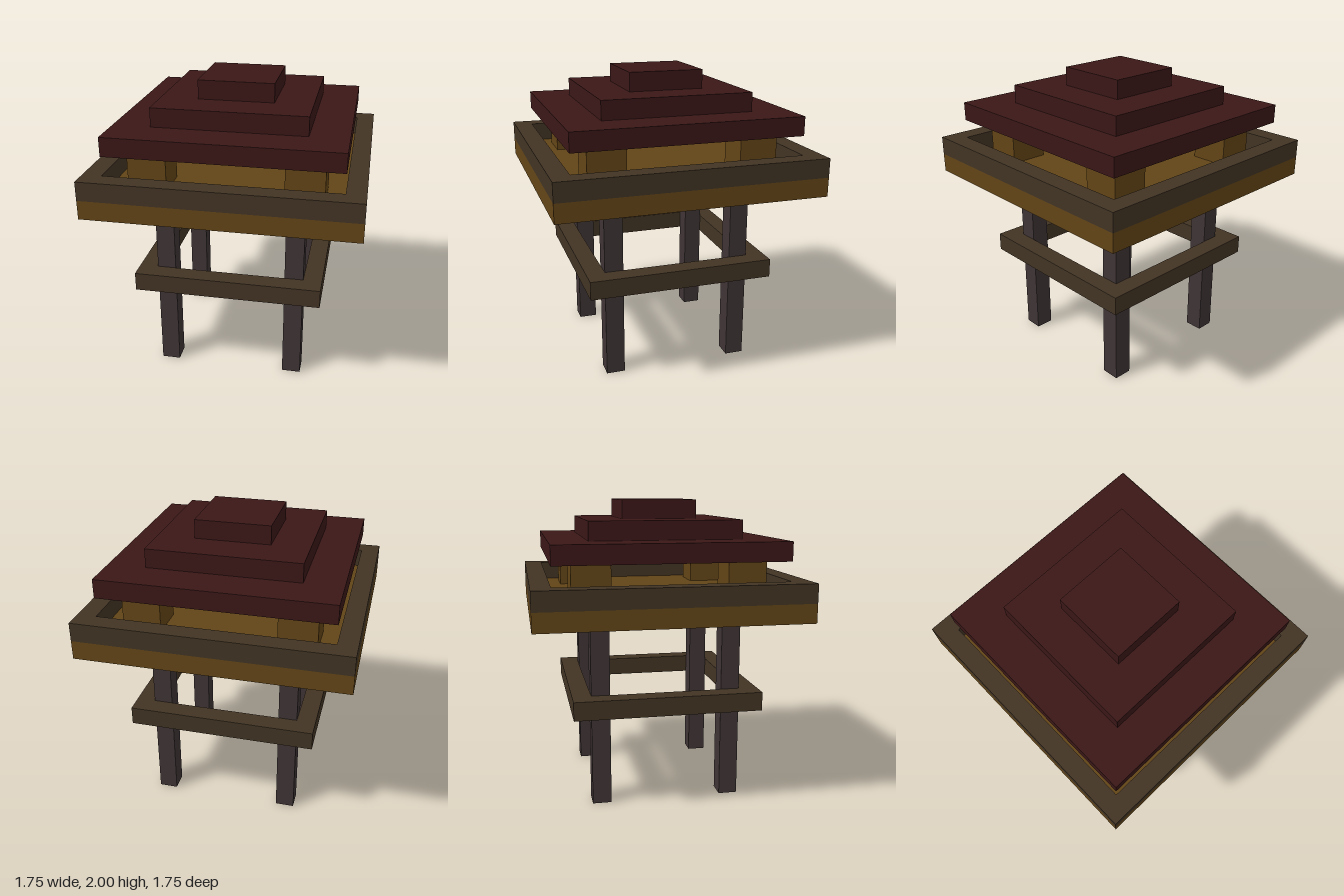
import * as THREE from 'three';

const paint = (color) => new THREE.MeshStandardMaterial({ color, flatShading: true });

export function createModel() {
  const model = new THREE.Group();
  const legWood = paint(0x3f3435);
  const railWood = paint(0x423424);
  const deckWood = paint(0x634517);
  const roofRed = paint(0x3b1717);

  const add = (geometry, material, name, x, y, z) => {
    const mesh = new THREE.Mesh(geometry, material);
    mesh.name = name;
    mesh.position.set(x, y, z);
    model.add(mesh);
  };

  // Box centred on x, z and rising from y0 to y1
  const block = (name, material, width, y0, y1, x = 0, z = 0) =>
    add(new THREE.BoxGeometry(width, y1 - y0, width), material, name, x, (y0 + y1) / 2, z);

  // Square frame with half-sizes outer and inner
  const frame = (name, material, outer, inner, y0, y1) => {
    const square = (Path, h) => new Path([[-h, -h], [h, -h], [h, h], [-h, h]].map(([x, y]) => new THREE.Vector2(x, y)));
    const shape = square(THREE.Shape, outer);
    shape.holes.push(square(THREE.Path, inner));
    const geometry = new THREE.ExtrudeGeometry(shape, { depth: y1 - y0, bevelEnabled: false });
    geometry.rotateX(-Math.PI / 2);
    add(geometry, material, name, 0, y0, 0);
  };

  // Legs and the short posts that carry the roof
  for (const [sx, xName] of [[1, 'Left'], [-1, 'Right']]) {
    for (const [sz, zName] of [[1, 'front'], [-1, 'back']]) {
      block(`${zName}${xName}Leg`, legWood, 0.125, 0, 1.25, sx * 0.4375, sz * 0.4375);
      block(`${zName}${xName}RoofPost`, deckWood, 0.25, 1.375, 1.625, sx * 0.5, sz * 0.5);
    }
  }

  // Brace around the legs, platform and its railing
  frame('legBrace', railWood, 0.625, 0.5, 0.625, 0.75);
  block('platform', deckWood, 1.75, 1.25, 1.375);
  frame('railing', railWood, 0.875, 0.75, 1.375, 1.5);

  // Stepped roof
  [1.5, 1, 0.5].forEach((width, i) =>
    block(`roofTier${i + 1}`, roofRed, width, 1.625 + i * 0.125, 1.75 + i * 0.125));

  return model;
}
